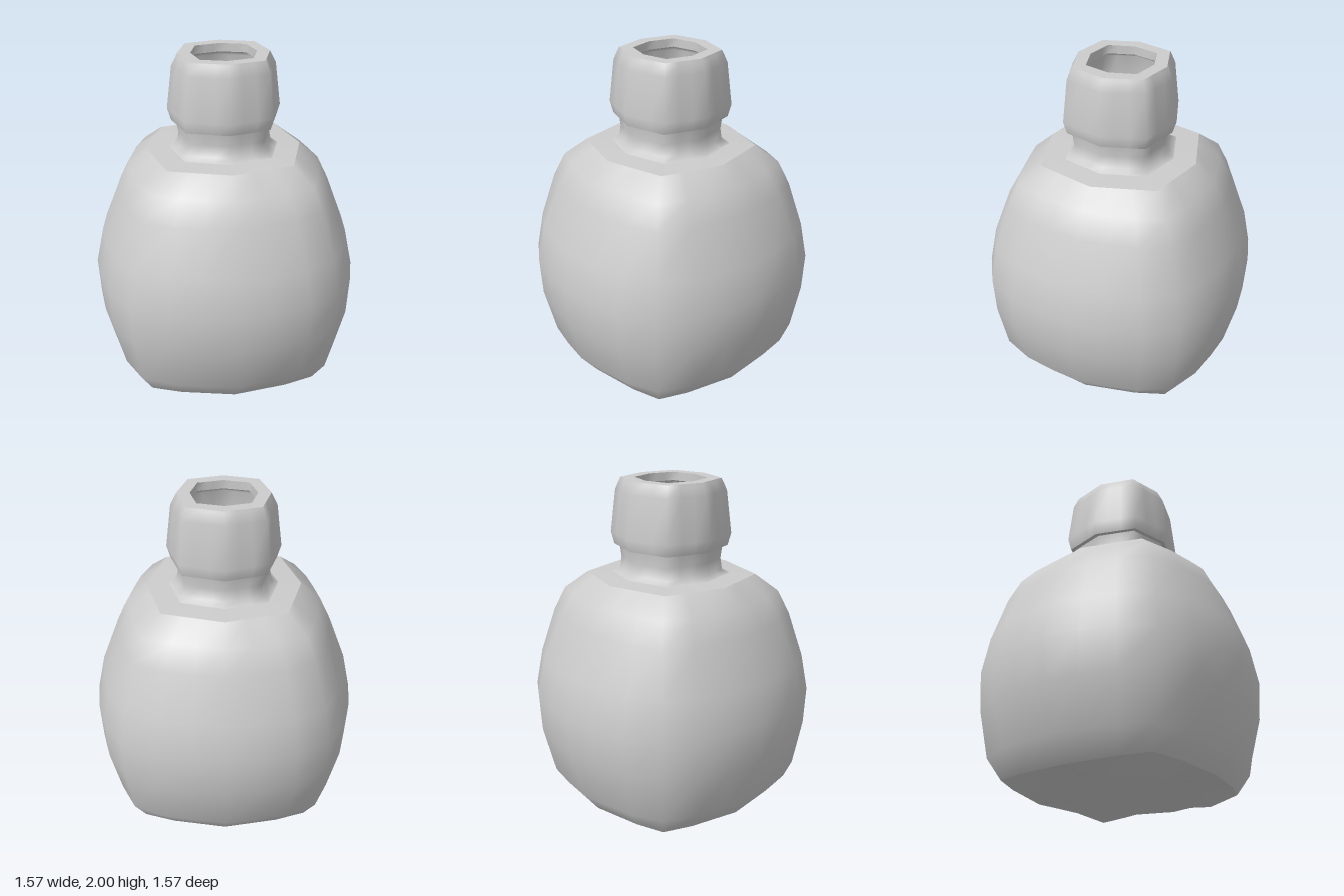
import * as THREE from 'three';

const SEGMENTS = 24;

// Skin a stack of rings, listed upward for an outward-facing surface.
// Ring: [y, radius on the axes, radius on the diagonals, octagon weight (1 = straight sides), diagonal lift]
function loft(rings) {
  const positions = [];
  const index = [];
  for (const [y, r, d, oct = 1, lift = 0] of rings) {
    for (let j = 0; j < SEGMENTS; j++) {
      const a = (j / SEGMENTS) * Math.PI * 2;
      const m = a % (Math.PI / 2);
      const t = Math.min(m, Math.PI / 2 - m);
      const straight = r === 0 ? 0
        : (r * d * Math.SQRT1_2) / (r * Math.sin(t) + d * Math.sin(Math.PI / 4 - t));
      const soft = r + (d - r) * Math.sin(2 * a) ** 4;
      const radius = soft + (straight - soft) * oct;
      positions.push(radius * Math.sin(a), y + lift * t / (Math.PI / 4), radius * Math.cos(a));
    }
  }
  for (let i = 0; i < rings.length - 1; i++) {
    for (let j = 0; j < SEGMENTS; j++) {
      const k = (j + 1) % SEGMENTS;
      const a = i * SEGMENTS + j, b = i * SEGMENTS + k;
      const c = b + SEGMENTS, e = a + SEGMENTS;
      index.push(a, b, c, a, c, e);
    }
  }
  const geometry = new THREE.BufferGeometry();
  geometry.setAttribute('position', new THREE.Float32BufferAttribute(positions, 3));
  geometry.setIndex(index);
  geometry.computeVertexNormals();
  return geometry;
}

export function createModel() {
  const model = new THREE.Group();
  model.name = 'bottle';
  const glass = new THREE.MeshStandardMaterial({ color: 0xcccccc });
  glass.name = 'pale grey glass';
  const blue = new THREE.MeshStandardMaterial({ color: 0x0c629e });
  blue.name = 'blue liquid';

  const add = (name, material, rings) => {
    const mesh = new THREE.Mesh(loft(rings), material);
    mesh.name = name;
    model.add(mesh);
  };

  // Hollowed underside resting on four corner feet
  add('baseHollow', glass, [[0.075, 0, 0], [0.06, 0.44, 0.523, 1, -0.06]]);
  add('baseRim', glass, [[0.06, 0.44, 0.523, 1, -0.06], [0.065, 0.59, 0.69, 0.5, 0.015]]);

  // Rounded-square belly
  add('body', glass, [
    [0.065, 0.59, 0.69, 0.5, 0.015],
    [0.2, 0.7, 0.775, 0.2],
    [0.48, 0.77, 0.83, 0],
    [0.71, 0.785, 0.842, 0],
    [0.93, 0.738, 0.8, 0],
    [1.2, 0.635, 0.71, 0.2],
    [1.335, 0.57, 0.64, 0.5],
    [1.435, 0.455, 0.502],
  ]);

  // Flat shoulder and neck
  add('shoulder', glass, [[1.435, 0.455, 0.502], [1.442, 0.32, 0.35]]);
  add('neck', glass, [
    [1.442, 0.32, 0.35],
    [1.462, 0.28, 0.305],
    [1.53, 0.268, 0.295],
    [1.61, 0.28, 0.305],
  ]);

  // Thick collar around the mouth
  add('collarUnderside', glass, [[1.61, 0.27, 0.295], [1.608, 0.308, 0.335]]);
  add('collar', glass, [
    [1.608, 0.308, 0.335],
    [1.68, 0.33, 0.355],
    [1.93, 0.3, 0.325],
    [1.985, 0.272, 0.3],
    [2.0, 0.265, 0.292],
  ]);
  add('mouthRim', glass, [[2.0, 0.265, 0.292], [2.0, 0.19, 0.212]]);

  // Inner walls
  add('mouthWall', glass, [[2.0, 0.19, 0.212], [1.95, 0.19, 0.212]]);
  add('innerWall', glass, [
    [1.95, 0.19, 0.212],
    [1.92, 0.24, 0.26],
    [1.68, 0.26, 0.28],
    [1.6, 0.215, 0.235],
    [1.45, 0.215, 0.235],
    [1.38, 0.4, 0.44],
    [1.2, 0.57, 0.64],
    [0.95, 0.67, 0.73, 0],
  ]);

  // Liquid surface
  add('liquid', blue, [[1.0, 0.66, 0.72, 0], [1.0, 0, 0]]);

  return model;
}
